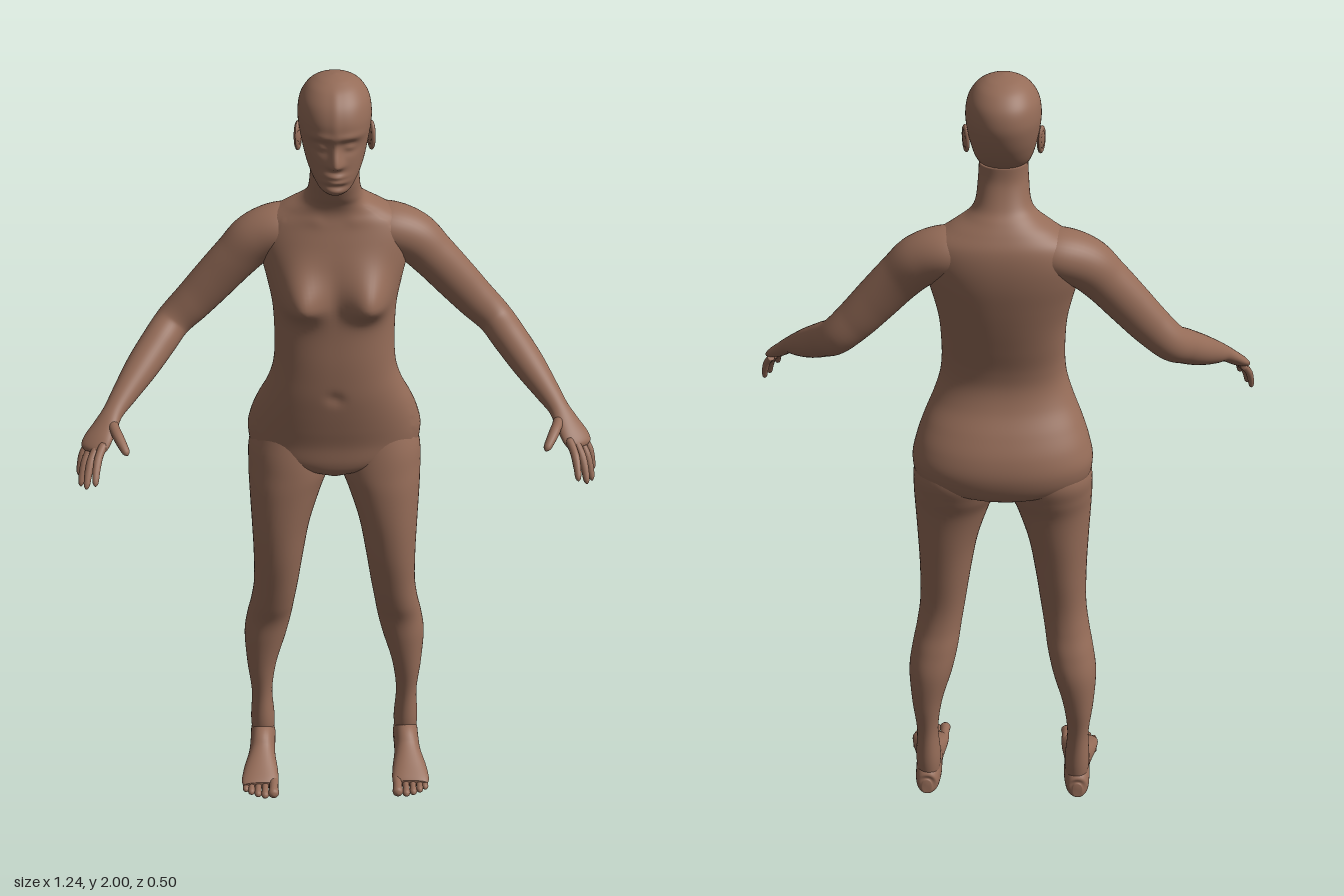
import * as THREE from 'three';

const skin = new THREE.MeshStandardMaterial({ color: 0x956c58 });
skin.name = 'brown skin';

const V = (x, y, z) => new THREE.Vector3(x, y, z);
const bell = (d, s) => Math.exp(-(d * d) / (2 * s * s));
const step = (a, b, x) => THREE.MathUtils.smoothstep(x, a, b);

// Smooth interpolation through rows of numbers
function spline(rows, t) {
  const f = t * (rows.length - 1), i = Math.min(Math.floor(f), rows.length - 2), u = f - i;
  const row = k => rows[Math.max(0, Math.min(rows.length - 1, k))];
  const [p, q, r, s] = [row(i - 1), row(i), row(i + 1), row(i + 2)];
  return q.map((_, k) => q[k] + 0.5 * u * (r[k] - p[k]
    + u * (2 * p[k] - 5 * q[k] + 4 * r[k] - s[k] + u * (3 * (q[k] - r[k]) + s[k] - p[k]))));
}

// Skin over oval sections [x, y, z, halfWidth, halfHeight]; level keeps the sections horizontal
function loft(rows, { level = false, sides = 32, steps = 48, power = 1, shape } = {}) {
  const rings = Array.from({ length: steps + 1 }, (_, i) => spline(rows, i / steps));
  const at = i => V(...rings[Math.max(0, Math.min(steps, i))].slice(0, 3));
  const ref = level ? V(0, 0, -1) : V(0, 1, 0);
  const soft = c => Math.sign(c) * Math.abs(c) ** power;
  const pos = [], index = [];
  const put = p => { if (shape) shape(p); pos.push(p.x, p.y, p.z); };
  rings.forEach((r, i) => {
    const T = level ? V(0, 1, 0) : at(i + 1).sub(at(i - 1)).normalize();
    const S = ref.clone().cross(T).normalize(), B = T.clone().cross(S);
    for (let j = 0; j < sides; j++) {
      const a = j / sides * Math.PI * 2;
      put(at(i).addScaledVector(S, r[3] * soft(Math.cos(a))).addScaledVector(B, r[4] * soft(Math.sin(a))));
      if (i < steps) {
        const k = (j + 1) % sides, lo = i * sides, hi = lo + sides;
        index.push(lo + j, lo + k, hi + j, lo + k, hi + k, hi + j);
      }
    }
  });
  put(at(0));
  put(at(steps));
  const end = (steps + 1) * sides, top = steps * sides;
  for (let j = 0; j < sides; j++) {
    const k = (j + 1) % sides;
    index.push(end, k, j, end + 1, top + j, top + k);
  }
  const g = new THREE.BufferGeometry();
  g.setAttribute('position', new THREE.Float32BufferAttribute(pos, 3));
  g.setIndex(index);
  g.computeVertexNormals();
  return g;
}

// Horizontal section from its extents
const slab = ([y, x0, x1, front, back]) => [(x0 + x1) / 2, y, (front + back) / 2, (x1 - x0) / 2, (front - back) / 2];
const centred = ([y, w, front, back]) => slab([y, -w, w, front, back]);

function mirrored(g) {
  const m = g.clone().scale(-1, 1, 1), a = m.index.array;
  for (let i = 0; i < a.length; i += 3) [a[i], a[i + 1]] = [a[i + 1], a[i]];
  m.computeVertexNormals();
  return m;
}

// Chest, spine and seat modelling
function shapeTorso(p) {
  const x = Math.abs(p.x), y = p.y;
  if (p.z > -0.06) {
    const fade = step(-0.06, -0.01, p.z);
    p.z += fade * 0.05 * bell(x - 0.082, 0.036) * bell(y - 1.452, y < 1.452 ? 0.027 : 0.05);
    p.z -= fade * 0.006 * bell(x, 0.012) * bell(y - 1.2, 0.012);
    p.z += fade * 0.007 * bell(y - 1.645 - x * 0.1, 0.01) * step(0.015, 0.05, x);
  } else {
    const fade = step(-0.09, -0.14, p.z);
    p.z += fade * 0.013 * bell(x, 0.02) * step(1.12, 1.22, y) * (1 - step(1.55, 1.68, y));
    p.z -= fade * 0.014 * bell(x - 0.095, 0.06) * bell(y - 1.04, 0.06);
    p.z += fade * 0.055 * bell(x, 0.014) * (1 - step(1.06, 1.15, y));
    p.z -= fade * 0.008 * bell(x - 0.1, 0.045) * bell(y - 1.54, 0.06);
  }
}

// Brow, eyes, nose, lips and chin
function shapeFace(p) {
  const x = Math.abs(p.x), y = p.y;
  if (p.z < -0.03) return;
  const f = step(-0.03, 0.015, p.z);
  const ridge = y < 1.822 ? bell(y - 1.822, 0.007) : 1 - 0.9 * step(1.822, 1.876, y);
  p.z += f * (0.02 * ridge * bell(x, 0.0075 + 0.004 * bell(y - 1.82, 0.012))
    - 0.012 * bell(x - 0.032, 0.016) * bell(y - 1.863, 0.012)
    + 0.008 * bell(x - 0.033, 0.01) * bell(y - 1.861, 0.006)
    + 0.005 * bell(x - 0.03, 0.022) * bell(y - 1.886, 0.007)
    + 0.008 * bell(x, 0.016) * (bell(y - 1.795, 0.005) + bell(y - 1.781, 0.005))
    - 0.004 * bell(x, 0.02) * bell(y - 1.77, 0.005)
    + 0.005 * bell(x, 0.016) * bell(y - 1.757, 0.007));
}

export function createModel() {
  const model = new THREE.Group();
  model.name = 'standingFigure';
  const add = (name, g) => {
    const m = new THREE.Mesh(g, skin);
    m.name = name;
    model.add(m);
  };
  const pair = (name, g) => {
    add('left' + name, g);
    add('right' + name, mirrored(g));
  };

  // Trunk and neck: y, half width, front z, back z
  add('torso', loft([
    [0.945, 0.025, -0.04, -0.14], [0.97, 0.12, -0.012, -0.205], [1.0, 0.2, -0.002, -0.232],
    [1.05, 0.217, 0, -0.243], [1.1, 0.208, 0.008, -0.233], [1.15, 0.19, 0.015, -0.207],
    [1.2, 0.168, 0.02, -0.176], [1.25, 0.152, 0.021, -0.16], [1.3, 0.146, 0.02, -0.162],
    [1.36, 0.146, 0.016, -0.175], [1.42, 0.15, 0.013, -0.188], [1.48, 0.162, 0.008, -0.199],
    [1.54, 0.176, -0.005, -0.207], [1.59, 0.18, -0.02, -0.207], [1.63, 0.163, -0.033, -0.199],
    [1.66, 0.12, -0.04, -0.182], [1.685, 0.08, -0.036, -0.163], [1.71, 0.063, -0.024, -0.142],
    [1.76, 0.057, -0.008, -0.119], [1.8, 0.055, -0.01, -0.115],
  ].map(centred), { level: true, sides: 96, steps: 120, power: 0.88, shape: shapeTorso }));

  // Head
  add('head', loft([
    [1.745, 0.018, 0.034, 0.005], [1.757, 0.036, 0.043, -0.03], [1.78, 0.053, 0.046, -0.085],
    [1.81, 0.066, 0.045, -0.125], [1.85, 0.076, 0.045, -0.152], [1.89, 0.083, 0.049, -0.166],
    [1.92, 0.084, 0.046, -0.168], [1.95, 0.078, 0.032, -0.159], [1.975, 0.062, 0.008, -0.137],
    [1.99, 0.042, -0.018, -0.11], [1.997, 0.022, -0.038, -0.085], [2.0, 0.003, -0.056, -0.062],
  ].map(centred), { level: true, sides: 128, steps: 110, power: 0.94, shape: shapeFace }));

  // Ears
  const place = g => g.rotateY(0.3).rotateX(-0.15).translate(0.084, 1.85, -0.066);
  pair('EarRim', place(new THREE.TorusGeometry(0.016, 0.005, 10, 28).rotateY(Math.PI / 2).scale(1, 1.65, 0.95)));
  pair('EarBowl', place(new THREE.SphereGeometry(0.016, 16, 12).scale(0.45, 1.6, 0.9)));

  // Legs: y, inner x, outer x, front z, back z
  pair('Leg', loft([
    [0.03, 0.172, 0.222, -0.1, -0.165], [0.1, 0.165, 0.23, -0.086, -0.172], [0.2, 0.17, 0.226, -0.088, -0.171],
    [0.3, 0.157, 0.236, -0.075, -0.185], [0.4, 0.13, 0.241, -0.065, -0.19], [0.47, 0.115, 0.232, -0.058, -0.177],
    [0.53, 0.106, 0.22, -0.038, -0.162], [0.6, 0.095, 0.211, -0.02, -0.157], [0.7, 0.08, 0.21, 0, -0.167],
    [0.8, 0.062, 0.213, 0.008, -0.178], [0.9, 0.032, 0.217, 0.006, -0.19], [0.96, 0.01, 0.218, 0, -0.208],
    [1.02, 0.01, 0.214, -0.01, -0.218], [1.1, 0.03, 0.185, -0.03, -0.19],
  ].map(slab), { level: true, sides: 48, steps: 80, power: 0.95 }));

  // Feet and toes, flat on the ground
  const sole = p => { p.y = Math.max(p.y, 0); };
  pair('Foot', loft([
    [0.2, 0.036, -0.18, 0.012, 0.018], [0.2, 0.036, -0.168, 0.028, 0.035], [0.198, 0.046, -0.13, 0.034, 0.05],
    [0.198, 0.05, -0.09, 0.034, 0.053], [0.2, 0.038, -0.05, 0.036, 0.041], [0.203, 0.026, 0, 0.046, 0.028],
    [0.205, 0.017, 0.04, 0.05, 0.018], [0.205, 0.014, 0.056, 0.044, 0.012],
  ], { shape: sole, power: 0.9 }));
  [[0.168, 0.099, 0.0145], [0.191, 0.1, 0.0105], [0.21, 0.094, 0.01], [0.228, 0.084, 0.0095], [0.243, 0.072, 0.009]]
    .forEach(([x, tip, r], i) => pair('Toe' + (i + 1), loft([
      [x, r + 0.003, tip - 0.065, r * 0.9, r * 0.8], [x, r + 0.003, tip - 0.03, r * 0.85, r * 0.9],
      [x, r, tip - 0.012, r, r], [x, r, tip - 0.004, r * 0.75, r * 0.75], [x, r, tip, r * 0.15, r * 0.15],
    ], { sides: 14, steps: 16, shape: sole })));

  // Arms running into the palms
  pair('Arm', loft([
    [0.05, 1.6, -0.125, 0.055, 0.045], [0.12, 1.597, -0.12, 0.07, 0.059], [0.185, 1.572, -0.115, 0.064, 0.061],
    [0.235, 1.525, -0.11, 0.053, 0.056], [0.29, 1.465, -0.108, 0.046, 0.053], [0.34, 1.41, -0.106, 0.043, 0.049],
    [0.39, 1.36, -0.098, 0.043, 0.044], [0.425, 1.325, -0.055, 0.043, 0.042], [0.465, 1.285, 0, 0.04, 0.038],
    [0.505, 1.245, 0.06, 0.031, 0.029], [0.53, 1.22, 0.1, 0.026, 0.021], [0.547, 1.198, 0.127, 0.032, 0.018],
    [0.565, 1.175, 0.152, 0.038, 0.016], [0.576, 1.16, 0.168, 0.034, 0.012], [0.58, 1.154, 0.174, 0.018, 0.005],
  ], { sides: 40, steps: 96 }));

  // Fingers and thumb: root, tip, radius
  const digits = {
    Thumb: [[0.53, 1.203, 0.128], [0.49, 1.17, 0.216], 0.0125],
    IndexFinger: [[0.55, 1.172, 0.172], [0.566, 1.11, 0.256], 0.0098],
    MiddleFinger: [[0.564, 1.168, 0.165], [0.59, 1.09, 0.237], 0.01],
    RingFinger: [[0.578, 1.162, 0.153], [0.607, 1.078, 0.203], 0.0095],
    LittleFinger: [[0.589, 1.16, 0.139], [0.614, 1.085, 0.165], 0.0085],
  };
  for (const [name, [root, tip, r]] of Object.entries(digits)) {
    const row = (t, k) => {
      const lift = 0.008 * Math.sin(t * Math.PI);
      const p = V(...root).lerp(V(...tip), t);
      return [p.x + lift * 0.5, p.y + lift, p.z, r * k, r * k];
    };
    pair(name, loft([row(0, 1.1), row(0.3, 1), row(0.5, 1.02), row(0.75, 0.9), row(0.93, 0.7), row(1, 0.15)],
      { sides: 14, steps: 20 }));
  }
  return model;
}
